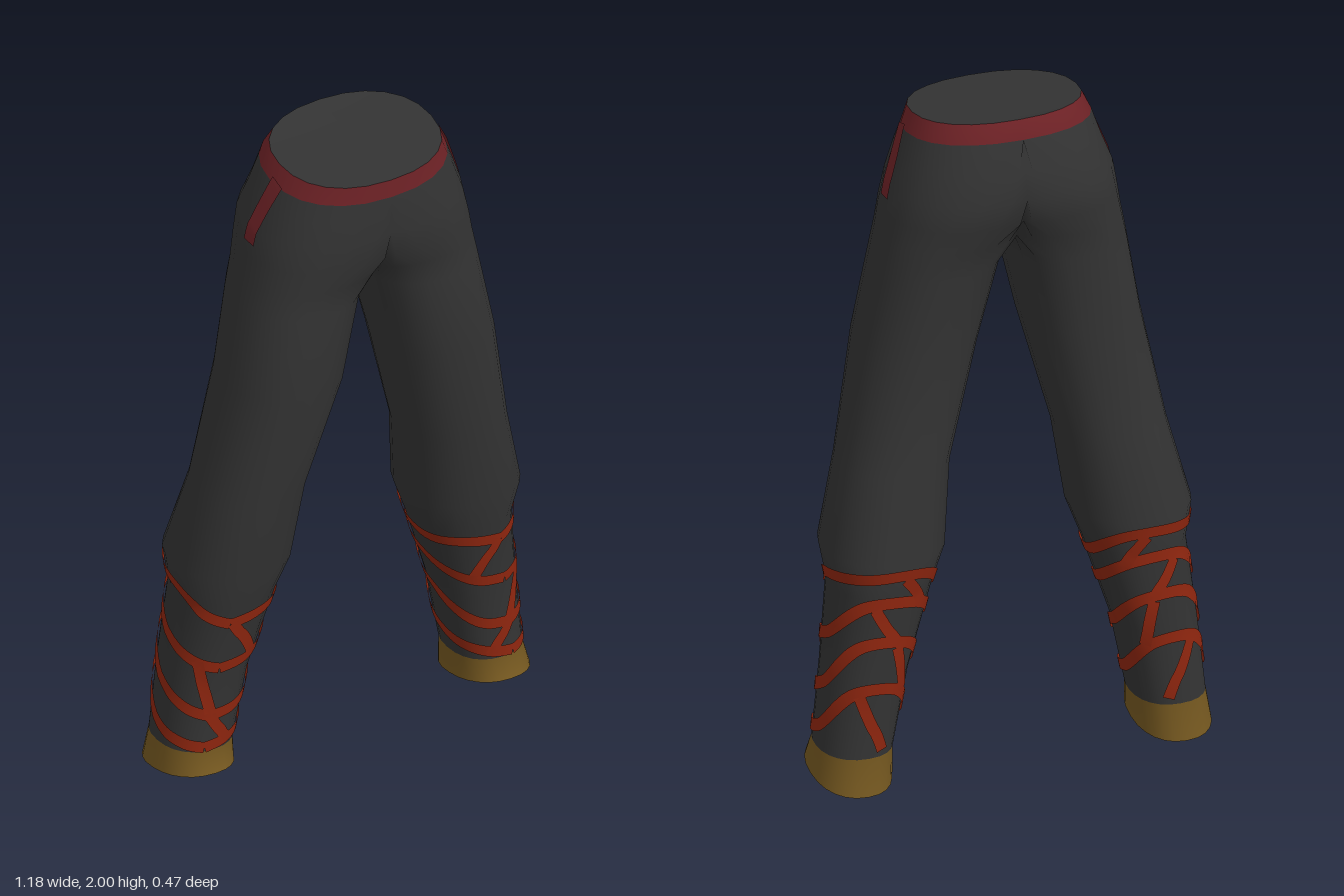
import * as THREE from 'three';

const mat = (name, color, side = THREE.FrontSide) => {
  const m = new THREE.MeshStandardMaterial({ color, side });
  m.name = name;
  return m;
};

// Cross-sections of one half, hem to waist:
// [height, inner x (negative = joined at the middle), widest-z x, outer x, back z, front z, tilt]
const RINGS = [
  [0.033, 0.365, 0.475, 0.59, -0.226, 0.075, 0.18],
  [0.118, 0.36, 0.465, 0.575, -0.205, 0.047, 0.03],
  [0.35, 0.315, 0.43, 0.55, -0.21, 0.06, 0],
  [0.6, 0.235, 0.385, 0.522, -0.207, 0.095, 0],
  [0.71, 0.195, 0.375, 0.54, -0.226, 0.132, 0],
  [0.95, 0.165, 0.325, 0.482, -0.172, 0.148, 0],
  [1.3, 0.075, 0.24, 0.413, -0.168, 0.21, 0],
  [1.55, 0.012, 0.19, 0.366, -0.185, 0.2, 0],
  [1.63, -0.06, 0.15, 0.35, -0.195, 0.207, 0],
  [1.7, -0.15, 0.09, 0.338, -0.22, 0.23, 0],
  [1.78, -0.25, 0.05, 0.322, -0.235, 0.235, 0],
  [1.86, -0.25, 0.02, 0.292, -0.216, 0.235, 0],
  [1.928, -0.25, 0, 0.268, -0.195, 0.232, -0.12],
  [1.98, -0.25, 0, 0.245, -0.166, 0.228, -0.12],
];
const SEG = 24;

// Point on one section; angle 0 = front, 90 degrees = outer side
function ringPoint(ring, a) {
  const [y, xi, xc, xo, zb, zf, tilt] = ring;
  const pow = (v) => Math.sign(v) * Math.abs(v) ** 0.88;
  const s = pow(Math.sin(a)), c = pow(Math.cos(a));
  const dz = c * (zf - zb) / 2;
  const x = Math.max(0, xc + s * (s > 0 ? xo - xc : xc - xi));
  return new THREE.Vector3(x, y + tilt * dz, (zf + zb) / 2 + dz);
}

// Point on the surface at any height
function surface(a, y) {
  let i = 0;
  while (i < RINGS.length - 2 && RINGS[i + 1][0] < y) i++;
  const t = (y - RINGS[i][0]) / (RINGS[i + 1][0] - RINGS[i][0]);
  return ringPoint(RINGS[i], a).lerp(ringPoint(RINGS[i + 1], a), t);
}

function surfaceNormal(a, y) {
  const da = surface(a + 0.06, y).sub(surface(a - 0.06, y));
  const dy = surface(a, y + 0.02).sub(surface(a, y - 0.02));
  return da.cross(dy).normalize();
}

function makeGeometry(points, index) {
  const g = new THREE.BufferGeometry().setFromPoints(points);
  g.setIndex(index);
  g.computeVertexNormals();
  return g;
}

// Half of the trousers: hem, cloth and waistband share smooth normals
function halfGeometry() {
  const pts = [], index = [], counts = [0, 0, 0];
  for (const ring of RINGS)
    for (let j = 0; j < SEG; j++) pts.push(ringPoint(ring, (j / SEG) * Math.PI * 2));
  const last = RINGS.length - 2;
  for (let r = 0; r <= last; r++) {
    const part = r === 0 ? 0 : r === last ? 2 : 1;
    for (let j = 0; j < SEG; j++) {
      const k = (j + 1) % SEG;
      const a = r * SEG + j, b = r * SEG + k, c = a + SEG, d = b + SEG;
      for (const tri of [[a, b, d], [a, d, c]]) {
        if (tri.every((v) => pts[v].x < 1e-6)) continue; // no wall inside the seat
        index.push(...tri);
        counts[part] += 3;
      }
    }
  }
  const g = makeGeometry(pts, index);
  // Smooth seam down the middle
  const n = g.attributes.normal, v = new THREE.Vector3();
  pts.forEach((p, i) => {
    if (p.x > 1e-6) return;
    v.fromBufferAttribute(n, i).setX(0).normalize();
    n.setXYZ(i, v.x, v.y, v.z);
  });
  let start = 0;
  counts.forEach((count, i) => { g.addGroup(start, count, i); start += count; });
  return g;
}

// Fan closing a section
function capGeometry(center, points, up) {
  const index = [];
  for (let j = 0; j < SEG; j++) {
    const a = 1 + j, b = 1 + ((j + 1) % SEG);
    if (points[j].x + points[(j + 1) % SEG].x < 1e-6) continue;
    index.push(0, up ? a : b, up ? b : a);
  }
  return makeGeometry([center, ...points], index);
}

// Thin strap lying on the cloth along [degrees, height] points
function strapGeometry(path, width, closed = false) {
  const curve = new THREE.CatmullRomCurve3(
    path.map(([d, y]) => new THREE.Vector3(THREE.MathUtils.degToRad(d) * 0.15, y, 0)));
  const steps = closed ? 60 : 14;
  const pts = [], index = [];
  const at = (t) => {
    const p = curve.getPoint(THREE.MathUtils.clamp(t, 0, 1));
    return [p.x / 0.15, p.y];
  };
  for (let i = 0; i <= steps; i++) {
    const t = i / steps, [a, y] = at(t);
    const n = surfaceNormal(a, y);
    const along = surface(...at(t + 0.01)).sub(surface(...at(t - 0.01)));
    const across = n.clone().cross(along).normalize();
    const p = surface(a, y).addScaledVector(n, 0.005);
    for (const s of [1, -1]) pts.push(p.clone().addScaledVector(across, s * width / 2));
    if (i < steps) {
      const k = i * 2;
      index.push(k, k + 1, k + 3, k, k + 3, k + 2);
    }
  }
  return makeGeometry(pts, index);
}

function mirrored(geometry) {
  const g = geometry.clone().scale(-1, 1, 1), ix = g.index;
  for (let i = 0; i < ix.count; i += 3) {
    const b = ix.getX(i + 1);
    ix.setX(i + 1, ix.getX(i + 2));
    ix.setX(i + 2, b);
  }
  return g;
}

export function createModel() {
  const model = new THREE.Group();
  model.name = 'trousers';
  const cloth = mat('charcoal cloth', 0x333333);
  const band = mat('dark red band', 0x6e2226, THREE.DoubleSide);
  const strap = mat('red strap', 0x90260f, THREE.DoubleSide);
  const gold = mat('old gold', 0x755820, THREE.DoubleSide);

  const addPair = (name, geometry, material) => {
    for (const side of ['left', 'right']) {
      const mesh = new THREE.Mesh(side === 'left' ? geometry : mirrored(geometry), material);
      mesh.name = `${side} ${name}`;
      model.add(mesh);
    }
  };
  const section = (y) => Array.from({ length: SEG }, (_, j) => surface((j / SEG) * Math.PI * 2, y));

  addPair('leg', halfGeometry(), [gold, cloth, band]);
  addPair('waist top', capGeometry(new THREE.Vector3(0, 1.972, 0.03), section(1.98), true), cloth);
  addPair('ankle lining', capGeometry(new THREE.Vector3(0.465, 0.095, -0.08), section(0.085), false), cloth);

  // Side tab below the waistband
  addPair('side tab', strapGeometry([[83, 1.94], [86, 1.84], [88, 1.74]], 0.05), band);

  // Straps wound round the shin: heights at front, outer, back and inner side
  const wraps = [
    [0.55, 0.64, 0.67, 0.58],
    [0.4, 0.46, 0.58, 0.49],
    [0.24, 0.31, 0.46, 0.35],
    [0.135, 0.18, 0.32, 0.2],
  ];
  wraps.forEach(([f, o, b, i], n) => {
    const path = [[15, f], [50, (f * 2 + o) / 3], [90, o], [150, b], [200, b], [270, i], [335, f + 0.02], [375, f]];
    addPair(`shin strap ${n + 1}`, strapGeometry(path, 0.036, true), strap);
  });

  // Short cross straps joining the windings at front and back
  const links = [
    [[12, 0.55], [-22, 0.43]], [[45, 0.42], [15, 0.25]], [[15, 0.24], [-15, 0.14]],
    [[185, 0.66], [215, 0.56]], [[160, 0.57], [190, 0.46]], [[190, 0.45], [215, 0.31]],
    [[155, 0.31], [195, 0.14]],
  ];
  links.forEach((path, n) => addPair(`cross strap ${n + 1}`, strapGeometry(path, 0.034), strap));

  return model;
}
